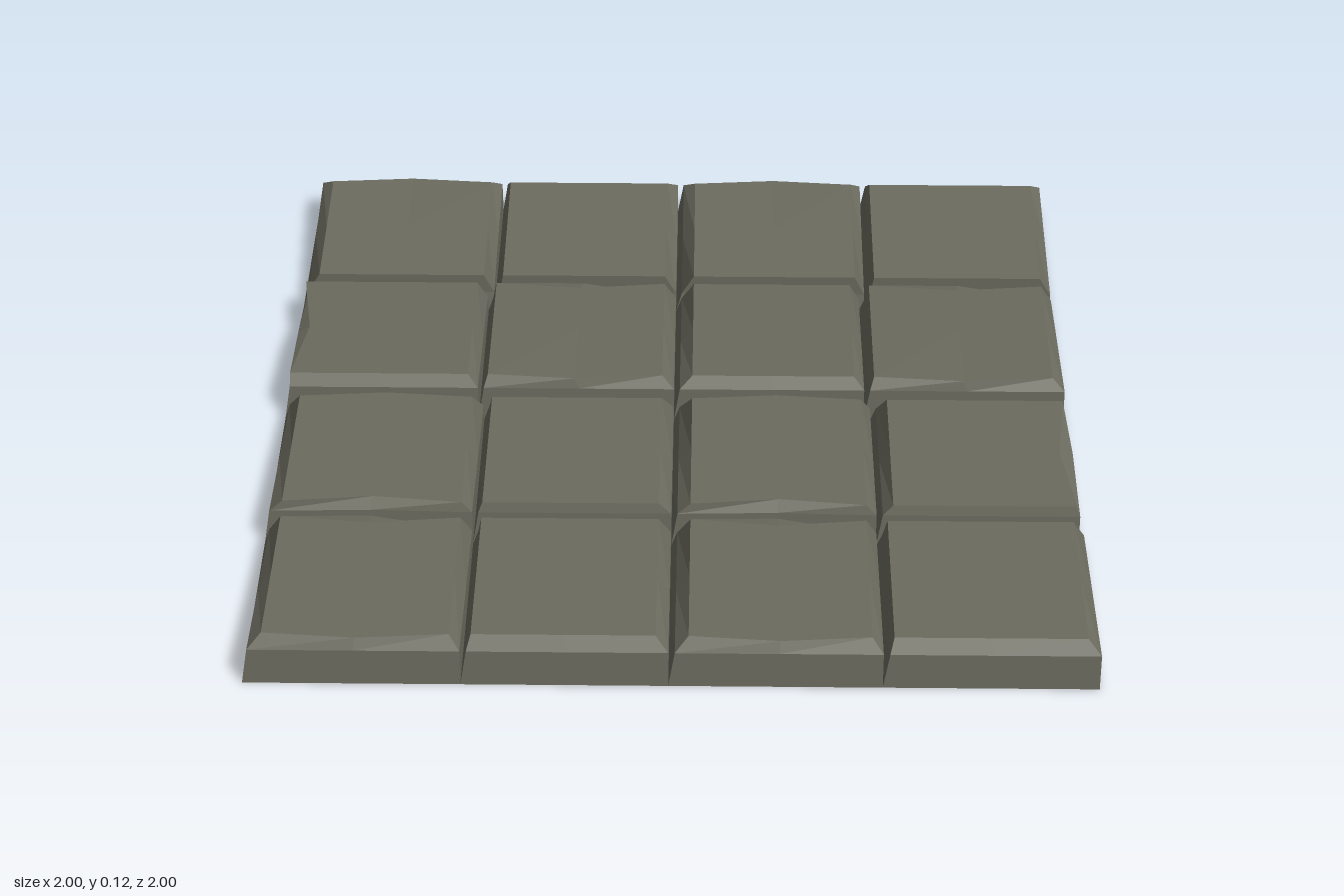
import * as THREE from 'three';

const stone = new THREE.MeshStandardMaterial({ color: 0x6b6b5f, flatShading: true, side: THREE.DoubleSide });

const SEAMS_X = [-1, -0.49, -0.005, 0.495, 0.99];
const SEAMS_Z = [-1, -0.515, -0.03, 0.48, 1];
const CHIP = 0.022, BULGE = -0.016;

// Rows from back to front: bevel widths, and which columns (0 = first and third,
// 1 = second and fourth) have a chipped or bulging back and front edge
const ROWS = [
  { back: 0.04, front: 0.015, worn: 0, backMid: BULGE, frontMid: 0 },
  { back: 0.02, front: 0.038, worn: 1, backMid: CHIP, frontMid: BULGE },
  { back: 0.042, front: 0.02, worn: 0, backMid: BULGE, frontMid: CHIP },
  { back: 0.024, front: 0.045, worn: 0, backMid: CHIP, frontMid: BULGE },
];

// Eight-point loop: corners and edge middles, counter-clockwise from above;
// mid moves the middles of the left, front, right and back edges inward
function ring([l, r, b, f], mid, height) {
  const cx = (l + r) / 2, cz = (b + f) / 2;
  return [
    [l, b], [l + mid[0], cz], [l, f], [cx, f - mid[1]],
    [r, f], [r - mid[2], cz], [r, b], [cx, b + mid[3]],
  ].map(([x, z], i) => new THREE.Vector3(x, height((z - b) / (f - b), i), z));
}

function tileGeometry([l, r, b, f], [dl, dr, db, df], mid, highBack) {
  const rise = (t) => THREE.MathUtils.clamp(highBack ? 1 - t : t, 0, 1);
  const flat = [0, 0, 0, 0];
  const rings = [
    ring([l, r, b, f], flat, () => 0),
    // Shoulder, lifted in the middle of a chipped edge
    ring([l + 0.015, r, b + 0.01, f - 0.012], flat, (t, i) =>
      i % 2 && mid[(i - 1) / 2] >= CHIP ? 0.095 : 0.05 + 0.04 * rise(t)),
    ring([l + dl, r - dr, b + db, f - df], mid, (t) => 0.102 + 0.013 * rise(t)),
  ];
  const pts = [];
  for (let k = 0; k < 2; k++) {
    for (let i = 0; i < 8; i++) {
      const j = (i + 1) % 8, lo = rings[k], hi = rings[k + 1];
      pts.push(lo[i], lo[j], hi[j], lo[i], hi[j], hi[i]);
    }
  }
  // Worn top face; the underside stays open
  const rim = rings[2];
  const centre = rim[0].clone().add(rim[4]).multiplyScalar(0.5);
  rim.forEach((p, i) => pts.push(centre, p, rim[(i + 1) % 8]));
  const geo = new THREE.BufferGeometry().setFromPoints(pts);
  geo.computeVertexNormals();
  return geo;
}

export function createModel() {
  const floor = new THREE.Group();
  floor.name = 'stoneFloor';
  ROWS.forEach(({ back, front, worn, backMid, frontMid }, row) => {
    const group = new THREE.Group();
    group.name = `tileRow${row + 1}`;
    // The second row's odd seams sit a little to the side; the front row is widest
    const xs = SEAMS_X.map((x, i) => (row === 1 && i % 2 ? x - 0.015 : x));
    if (row === 3) xs[4] = 1;

    for (let col = 0; col < 4; col++) {
      const odd = col % 2;
      const bevel = [odd ? 0.025 : 0.047, odd ? 0.03 : 0.026, back, front];
      const mid = odd === worn ? [0, frontMid, 0, backMid] : [0, 0, 0, 0];
      // Two outer tiles are chipped on their free side
      if (row === 1 && col === 0) {
        bevel[0] = 0.015;
        mid[0] = 0.03;
      }
      if (row === 2 && col === 3) {
        bevel[0] = 0.04;
        bevel[1] = 0.01;
        mid[2] = 0.025;
      }
      const base = [xs[col], xs[col + 1], SEAMS_Z[row], SEAMS_Z[row + 1]];
      const tile = new THREE.Mesh(tileGeometry(base, bevel, mid, row === 0), stone);
      tile.name = `tile${row + 1}_${col + 1}`;
      group.add(tile);
    }
    floor.add(group);
  });
  return floor;
}
